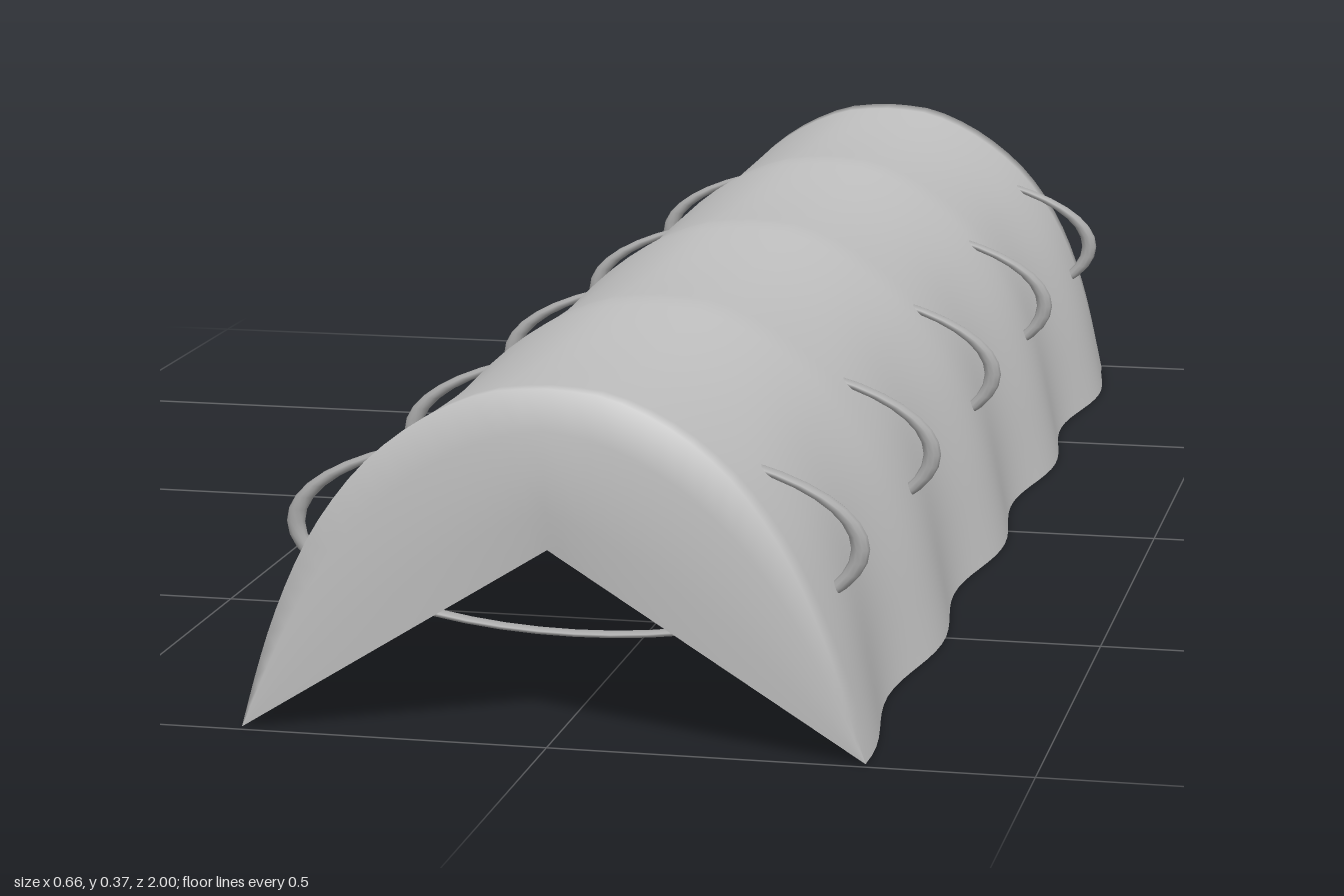
import * as THREE from 'three';

const HALF = 0.99;      // half length of the cover
const COLS = 40;        // steps across the arch
const ROWS = 64;        // steps along the length
const CAP_ROWS = 4;     // steps across each end flap

// right half of the arch, from ridge to hem
const arch = new THREE.SplineCurve([
  [0, 0.373], [0.06, 0.367], [0.12, 0.342], [0.17, 0.307], [0.21, 0.265],
  [0.25, 0.202], [0.285, 0.115], [0.317, 0.003],
].map(([x, y]) => new THREE.Vector2(x, y)));

// point on the draped sheet; s runs -1..1 across
function sheetPoint(s, z) {
  const t = Math.abs(s), side = Math.sign(s);
  const p = arch.getPointAt(t);
  const sag = 0.011 * Math.abs(Math.sin(2 * Math.PI * z / HALF)) * (1 - t);
  const low = Math.max(0, (t - 0.3) / 0.7);
  const ripple = 0.011 * low * Math.sin(14.2 * z + side * 0.5 + 2.5 * (1 - t));
  return new THREE.Vector3(side * (p.x + ripple), p.y - sag, z);
}

// point on an end flap; k = 0 at the notch, 1 at the arch rim
function flapPoint(s, k, end) {
  const rim = sheetPoint(s, end * HALF);
  const hem = sheetPoint(Math.sign(s) || 1, end * HALF);
  const t = Math.abs(s);
  const notch = new THREE.Vector3(hem.x * t, THREE.MathUtils.lerp(0.207, 0.003, t), end * HALF);
  const p = notch.lerp(rim, k);
  p.z += end * 0.01 * Math.sin(Math.PI * k) * (1 - t);
  return p;
}

// one continuous skin: front flap, sheet, back flap
function coverGeometry() {
  const rows = [];
  for (let i = 0; i < CAP_ROWS; i++) rows.push(s => flapPoint(s, i / CAP_ROWS, 1));
  for (let i = 0; i <= ROWS; i++) rows.push(s => sheetPoint(s, HALF * (1 - 2 * i / ROWS)));
  for (let i = CAP_ROWS - 1; i >= 0; i--) rows.push(s => flapPoint(s, i / CAP_ROWS, -1));

  const pos = [], index = [], w = COLS + 1;
  rows.forEach((row, r) => {
    for (let c = 0; c <= COLS; c++) {
      pos.push(...row(2 * c / COLS - 1).toArray());
      if (r && c) {
        const d = r * w + c, a = d - w - 1, b = d - w, e = d - 1;
        index.push(a, b, e, b, d, e);
      }
    }
  });
  const g = new THREE.BufferGeometry();
  g.setAttribute('position', new THREE.Float32BufferAttribute(pos, 3));
  g.setIndex(index);
  g.computeVertexNormals();
  return g;
}

export function createModel() {
  const model = new THREE.Group();
  const clothGrey = new THREE.MeshStandardMaterial({ color: 0xc0c0c0, side: THREE.DoubleSide });
  clothGrey.name = 'clothGrey';
  const ropeGrey = new THREE.MeshStandardMaterial({ color: 0xa8a8a8 });
  ropeGrey.name = 'ropeGrey';

  const cover = new THREE.Mesh(coverGeometry(), clothGrey);
  cover.name = 'cover';
  model.add(cover);

  // flattened rope hoops threaded through the cover
  const hoop = new THREE.TorusGeometry(1, 0.033, 10, 48);
  hoop.scale(0.3, 0.105, 0.24);
  for (let i = 0; i < 5; i++) {
    const rope = new THREE.Mesh(hoop, ropeGrey);
    rope.name = 'ropeHoop' + (i + 1);
    rope.position.set(0, 0.195, 0.875 - i * 0.442);
    model.add(rope);
  }
  return model;
}
